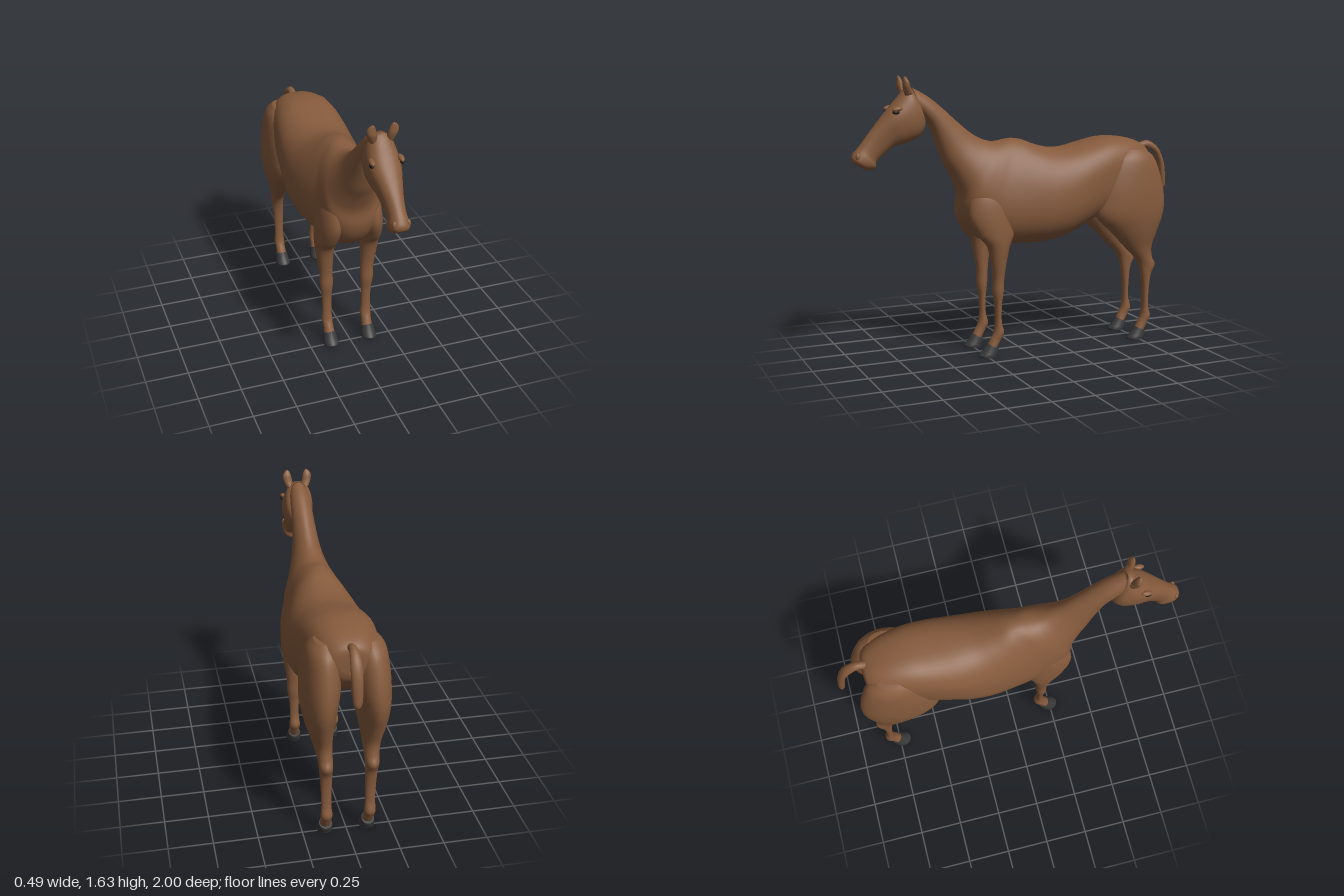
import * as THREE from 'three';
import { toCreasedNormals } from 'three/addons/utils/BufferGeometryUtils.js';

const coat = new THREE.MeshStandardMaterial({ color: 0x855a3c });
coat.name = 'brownCoat';
const horn = new THREE.MeshStandardMaterial({ color: 0x383838 });
horn.name = 'darkHoof';
const eyeDark = new THREE.MeshStandardMaterial({ color: 0x1f1b19 });
eyeDark.name = 'eyeDark';

// Skin over cross-sections. Each is [z1, y1, z2, y2, halfWidth, x, egg, power]:
// the two profile points it spans, its width, sideways offset, bias of the
// width towards the first point, and squareness (1 = ellipse).
function loft(sections, side = 1, steps = 5, n = 32) {
  const full = sections.map((s) => [...s, ...[0, 0, 1].slice(Math.max(0, s.length - 5))]);
  const rows = [];
  const at = (i) => full[Math.min(full.length - 1, Math.max(0, i))];
  for (let i = 0; i < full.length - 1; i++) {
    for (let k = 0; k < steps; k++) {
      const t = k / steps;
      rows.push(at(i).map((b, c) => {
        const a = at(i - 1)[c], d = at(i + 1)[c], e = at(i + 2)[c];
        return b + 0.5 * t * (d - a + t * (2 * a - 5 * b + 4 * d - e + t * (3 * (b - d) + e - a)));
      }));
    }
  }
  rows.push(at(full.length - 1));

  const pos = [], idx = [];
  for (const [z1, y1, z2, y2, w, x, egg, power] of rows) {
    for (let j = 0; j < n; j++) {
      const a = (j / n) * Math.PI * 2, c = Math.cos(a), s = Math.sin(a);
      const u = Math.sign(c) * Math.abs(c) ** power;
      const v = Math.sign(s) * Math.abs(s) ** power * (1 + egg * u);
      pos.push(side * (x + w * v), (y1 + y2) / 2 + u * (y1 - y2) / 2, (z1 + z2) / 2 + u * (z1 - z2) / 2);
    }
  }
  const quad = (a, b, c, d) => side > 0 ? idx.push(a, b, c, b, d, c) : idx.push(a, c, b, b, c, d);
  for (let r = 0; r < rows.length - 1; r++) {
    for (let j = 0; j < n; j++) {
      const k = (j + 1) % n;
      quad(r * n + j, r * n + k, (r + 1) * n + j, (r + 1) * n + k);
    }
  }
  // Close both ends
  const last = rows.length - 1;
  [0, last].forEach((r) => {
    const m = pos.length / 3, [z1, y1, z2, y2, , x] = rows[r];
    pos.push(side * x, (y1 + y2) / 2, (z1 + z2) / 2);
    for (let j = 0; j < n; j++) {
      const a = r * n + j, b = r * n + (j + 1) % n;
      if ((r === 0) === (side > 0)) idx.push(m, b, a);
      else idx.push(m, a, b);
    }
  });
  // Turn the faces outward if the sections ran the other way
  let volume = 0;
  const p = (i) => new THREE.Vector3().fromArray(pos, i * 3);
  for (let i = 0; i < idx.length; i += 3) volume += p(idx[i]).dot(p(idx[i + 1]).cross(p(idx[i + 2])));
  if (volume < 0) idx.reverse();

  const g = new THREE.BufferGeometry();
  g.setAttribute('position', new THREE.Float32BufferAttribute(pos, 3));
  g.setIndex(idx);
  g.computeVertexNormals();
  return g;
}

// Horizontal leg section: height, front z, back z, centre x, half width
const ring = ([y, front, back, x, w]) => [front, y, back, y, w, x];

export function createModel() {
  const horse = new THREE.Group();
  horse.name = 'horse';
  const add = (name, geometry, material) => {
    const mesh = new THREE.Mesh(geometry, material);
    mesh.name = name;
    horse.add(mesh);
    return mesh;
  };

  // Neck and chest, from the poll down
  const neck = [
    [0.66, 1.57, 0.60, 1.41, 0.055, 0, -0.1, 1],
    [0.56, 1.515, 0.575, 1.38, 0.062, 0, -0.1, 1],
    [0.47, 1.445, 0.54, 1.33, 0.066, 0, -0.1, 1],
    [0.38, 1.365, 0.50, 1.22, 0.076, 0, -0.1, 1],
    [0.30, 1.30, 0.465, 1.13, 0.09, 0, -0.15, 1],
    [0.23, 1.262, 0.42, 1.05, 0.11, 0, -0.2, 1],
    [0.17, 1.246, 0.378, 0.95, 0.135, 0, -0.2, 0.95],
    [0.12, 1.25, 0.372, 0.85, 0.155, 0, -0.2, 0.95],
  ];
  // Barrel and rump
  const barrel = [
    [0.08, 1.258, 0.335, 0.76, 0.168, 0, -0.2, 0.95],
    [0.04, 1.26, 0.26, 0.685, 0.18, 0, -0.2, 0.95],
    [-0.02, 1.25, 0.14, 0.65, 0.2, 0, -0.18, 0.92],
    [-0.10, 1.22, 0.0, 0.64, 0.222, 0, -0.12, 0.9],
    [-0.20, 1.197, -0.12, 0.64, 0.237, 0, -0.08, 0.88],
    [-0.30, 1.20, -0.26, 0.665, 0.238, 0, -0.04, 0.85],
    [-0.42, 1.225, -0.38, 0.72, 0.228, 0, 0, 0.8],
    [-0.55, 1.25, -0.50, 0.78, 0.212, 0, 0, 0.75],
    [-0.67, 1.245, -0.62, 0.82, 0.192, 0, 0, 0.75],
    [-0.77, 1.218, -0.74, 0.90, 0.16, 0, 0, 0.8],
    [-0.825, 1.185, -0.82, 0.98, 0.115, 0, 0, 0.9],
    [-0.84, 1.15, -0.84, 1.03, 0.06, 0, 0, 1],
  ];
  add('body', loft([...neck, ...barrel], 1, 5, 48), coat);

  // Head, from poll to lips
  add('head', loft([
    [0.65, 1.56, 0.585, 1.41, 0.045, 0, 0, 0.95],
    [0.685, 1.562, 0.575, 1.35, 0.078, 0, 0, 0.9],
    [0.73, 1.51, 0.61, 1.29, 0.09, 0, 0.05, 0.85],
    [0.78, 1.455, 0.69, 1.255, 0.088, 0, 0.1, 0.85],
    [0.84, 1.385, 0.76, 1.237, 0.07, 0, 0.08, 0.85],
    [0.90, 1.315, 0.82, 1.195, 0.055, 0, 0, 0.85],
    [0.95, 1.252, 0.86, 1.155, 0.05, 0, 0, 0.9],
    [0.98, 1.217, 0.867, 1.122, 0.056, 0, 0, 0.9],
    [0.998, 1.187, 0.91, 1.112, 0.051, 0, 0.1, 0.9],
    [0.997, 1.163, 0.95, 1.128, 0.03, 0, 0.1, 0.9],
  ], 1, 5, 36), coat);

  // Tail dock, arching up and then down
  add('tail', loft([
    [-0.79, 1.19, -0.79, 1.14, 0.025],
    [-0.855, 1.212, -0.845, 1.165, 0.023],
    [-0.905, 1.197, -0.885, 1.155, 0.027],
    [-0.952, 1.15, -0.92, 1.125, 0.032],
    [-0.985, 1.07, -0.944, 1.06, 0.032],
    [-0.999, 0.97, -0.956, 0.97, 0.028],
    [-0.999, 0.925, -0.963, 0.925, 0.021],
    [-0.988, 0.905, -0.975, 0.905, 0.008],
  ], 1, 5, 16), coat);

  // Shared lower leg, relative to the hoof's place
  const pastern = (dz) => [
    [0.30, 0.202 + dz, 0.16 + dz, 0.125, 0.03],
    [0.20, 0.2 + dz, 0.16 + dz, 0.124, 0.028],
    [0.14, 0.208 + dz, 0.145 + dz, 0.123, 0.033],
    [0.10, 0.228 + dz, 0.162 + dz, 0.122, 0.03],
    [0.05, 0.255 + dz, 0.19 + dz, 0.121, 0.033],
  ].map(ring);
  const foreleg = [
    [1.06, 0.25, 0.13, 0.09, 0.02],
    [1.00, 0.31, 0.10, 0.10, 0.048],
    [0.92, 0.345, 0.08, 0.112, 0.066],
    [0.82, 0.352, 0.07, 0.12, 0.073],
    [0.72, 0.305, 0.085, 0.132, 0.066],
    [0.65, 0.25, 0.115, 0.137, 0.058],
    [0.55, 0.226, 0.135, 0.134, 0.047],
    [0.46, 0.214, 0.146, 0.128, 0.04],
    [0.38, 0.215, 0.15, 0.127, 0.039],
  ].map(ring);
  const hindleg = [
    [1.18, -0.62, -0.77, 0.12, 0.05],
    [1.12, -0.54, -0.84, 0.125, 0.088],
    [1.00, -0.475, -0.885, 0.132, 0.104],
    [0.88, -0.445, -0.906, 0.14, 0.105],
    [0.78, -0.45, -0.897, 0.146, 0.096],
    [0.68, -0.55, -0.862, 0.145, 0.077],
    [0.58, -0.65, -0.83, 0.136, 0.054],
    [0.51, -0.72, -0.838, 0.13, 0.043],
    [0.46, -0.75, -0.86, 0.128, 0.039],
    [0.40, -0.767, -0.833, 0.127, 0.035],
  ].map(ring);
  const hoof = (dz) => [
    [0.247 + dz, 0.078, 0.178 + dz, 0.042, 0.036, 0.121],
    [0.272 + dz, 0.04, 0.182 + dz, 0.025, 0.041, 0.121],
    [0.298 + dz, 0.012, 0.192 + dz, 0.006, 0.046, 0.121],
    [0.295 + dz, 0, 0.194 + dz, 0, 0.045, 0.121],
  ];

  for (const side of [1, -1]) {
    const label = side > 0 ? 'left' : 'right';
    add(label + 'Foreleg', loft([...foreleg, ...pastern(0)], side), coat);
    add(label + 'HindLeg', loft([...hindleg, ...pastern(-0.98)], side), coat);
    [['ForeHoof', 0], ['HindHoof', -0.98]].forEach(([part, dz]) =>
      add(label + part, toCreasedNormals(loft(hoof(dz), side, 2, 24), 0.7), horn));

    // Ear, a small leaf standing on the poll
    add(label + 'Ear', loft([
      [0.70, 1.52, 0.655, 1.53, 0.022, 0.045],
      [0.715, 1.565, 0.672, 1.565, 0.027, 0.057],
      [0.715, 1.595, 0.683, 1.60, 0.025, 0.062],
      [0.713, 1.618, 0.697, 1.62, 0.014, 0.06],
      [0.71, 1.628, 0.706, 1.628, 0.003, 0.058],
    ], side, 4, 16), coat);

    // Eye under a brow
    const eye = add(label + 'Eye', new THREE.SphereGeometry(1, 16, 10), eyeDark);
    eye.scale.set(0.012, 0.012, 0.02);
    eye.position.set(side * 0.083, 1.432, 0.765);
    const brow = add(label + 'Brow', new THREE.SphereGeometry(1, 16, 10), coat);
    brow.scale.set(0.016, 0.014, 0.032);
    brow.position.set(side * 0.08, 1.449, 0.757);
    brow.rotation.x = 0.2;
    // Nostril rim
    const nostril = add(label + 'Nostril', new THREE.SphereGeometry(1, 14, 10), coat);
    nostril.scale.set(0.014, 0.022, 0.014);
    nostril.position.set(side * 0.038, 1.19, 0.972);
  }
  return horse;
}
